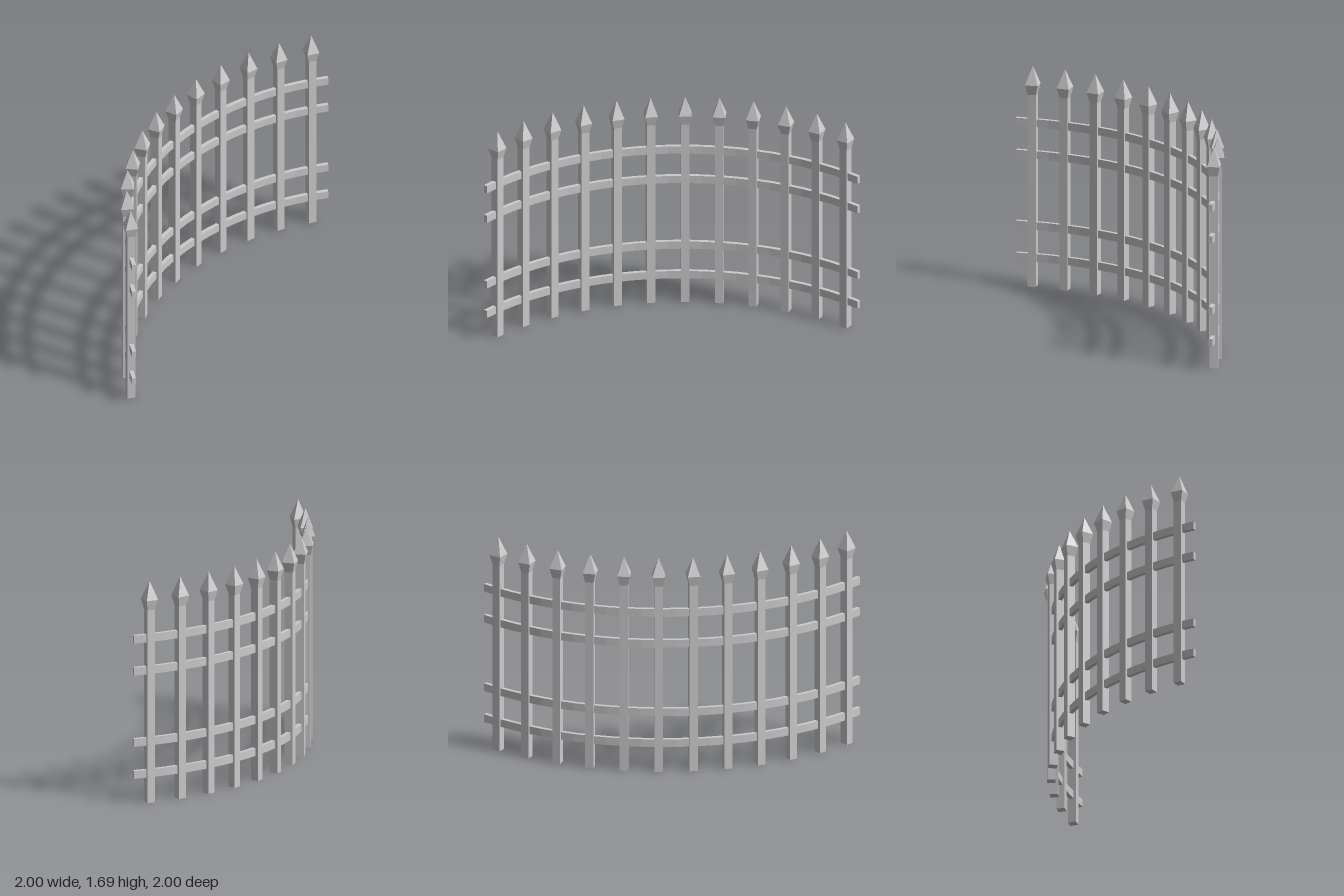
import * as THREE from 'three';

export function createModel() {
  const group = new THREE.Group();
  group.name = 'curvedFence';
  const material = new THREE.MeshStandardMaterial({ color: 0xcccccc, flatShading: true });

  // The fence follows a quarter circle centred on (1, 1)
  const radius = 1.953, count = 12, step = Math.PI / 2 / count;

  // Square pickets with a flared, pointed head
  const half = w => w / 2 * Math.SQRT2;
  const profile = [[0, 0], [half(0.062), 0], [half(0.062), 1.473], [half(0.095), 1.548], [0, 1.69]]
    .map(([x, y]) => new THREE.Vector2(x, y));
  const picketGeometry = new THREE.LatheGeometry(profile, 4, Math.PI / 4);
  for (let i = 0; i < count; i++) {
    const a = (i + 0.5) * step;
    const picket = new THREE.Mesh(picketGeometry, material);
    picket.name = `picket${i + 1}`;
    picket.position.set(1 - radius * Math.cos(a), 0, 1 - radius * Math.sin(a));
    picket.rotation.y = -i * step;
    group.add(picket);
  }

  // Curved rails: a thin ring sector extruded upwards
  const thickness = 0.03, height = 0.06;
  const sector = new THREE.Shape();
  sector.absarc(0, 0, radius + thickness / 2, Math.PI / 2, Math.PI, false);
  sector.absarc(0, 0, radius - thickness / 2, Math.PI, Math.PI / 2, true);
  const railGeometry = new THREE.ExtrudeGeometry(sector, { depth: height, bevelEnabled: false, curveSegments: 12 });
  railGeometry.rotateX(-Math.PI / 2);
  [0.19, 0.435, 0.98, 1.225].forEach((y, i) => {
    const rail = new THREE.Mesh(railGeometry, material);
    rail.name = `rail${i + 1}`;
    rail.position.set(1, y, 1);
    group.add(rail);
  });

  return group;
}
